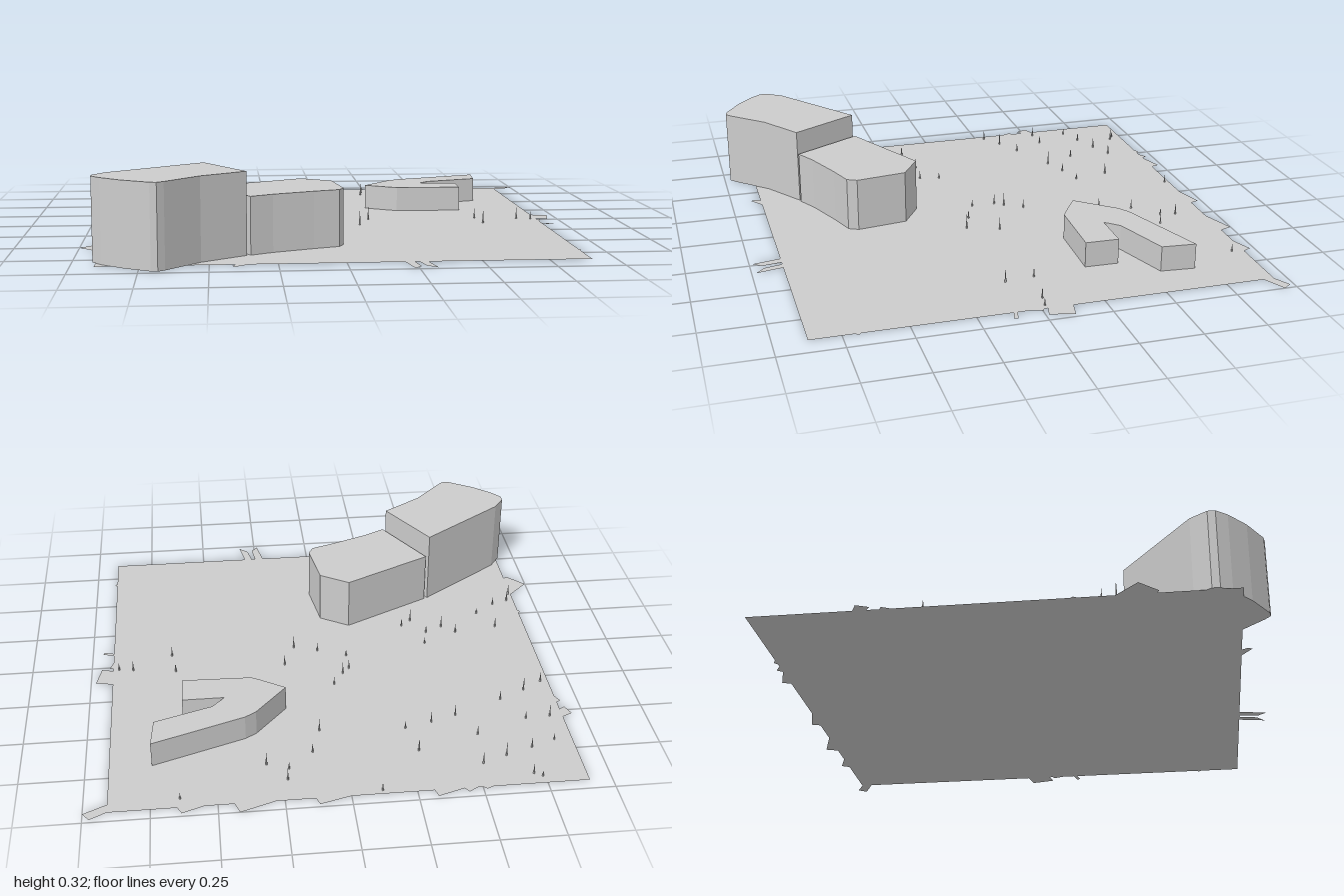
import * as THREE from 'three';

const material = new THREE.MeshStandardMaterial({ color: 0xcccccc, flatShading: true });
const thinMaterial = new THREE.MeshStandardMaterial({ color: 0xcccccc, side: THREE.DoubleSide });

// Plan outline from [x, z] corners
const outline = (points) => new THREE.Shape(points.map(([x, z]) => new THREE.Vector2(x, -z)));

function addMesh(parent, name, geometry, mat = material) {
  const mesh = new THREE.Mesh(geometry, mat);
  mesh.name = name;
  parent.add(mesh);
  return mesh;
}

// Upright block with a flat roof
function addBuilding(parent, name, points, height) {
  const geometry = new THREE.ExtrudeGeometry(outline(points), { depth: height, bevelEnabled: false });
  return addMesh(parent, name, geometry.rotateX(-Math.PI / 2));
}

// Flat patch lying on the ground plane
function addPatch(parent, name, points) {
  const geometry = new THREE.ShapeGeometry(outline(points)).rotateX(-Math.PI / 2);
  return addMesh(parent, name, geometry, thinMaterial);
}

const west = -0.913, east = 0.91, north = -0.95, south = 0.873;

// Plot fragments projecting past each side of the site
const edgePatches = {
  northPatch: [
    [[-0.54, north], [-0.515, -0.962], [-0.5, north]],
    [[-0.48, north], [-0.445, -0.972], [-0.43, north]],
    [[-0.43, north], [-0.325, -0.985], [-0.315, north]],
    [[0, north], [0.122, -0.985], [0.134, north]],
    [[0.283, north], [0.42, -1], [0.438, north]],
    [[0.55, north], [0.635, -0.983], [0.652, north]],
    [[east, north], [0.975, -0.985], [1, -0.95], [east, -0.905]],
  ],
  westPatch: [
    [[west, -0.545], [-0.955, -0.525], [-0.935, -0.477], [west, -0.492]],
    [[west, -0.443], [-0.93, -0.435], [west, -0.4]],
    [[west, 0.255], [-0.922, 0.265], [west, 0.28]],
    [[west, 0.417], [-1, 0.503], [-0.93, 0.575], [west, 0.567]],
  ],
  eastPatch: [
    [[east, -0.125], [0.98, -0.11], [0.958, -0.012], [east, -0.025]],
    [[east, -0.01], [0.925, -0.003], [east, 0.04]],
    [[east, 0.093], [0.957, 0.105], [0.952, 0.12], [east, 0.108]],
    [[east, 0.68], [0.92, 0.69], [east, 0.705]],
  ],
  southPatch: [
    [[-0.406, south], [-0.417, 0.895], [-0.41, 0.915], [-0.353, south]],
    [[0.214, south], [0.235, 0.987], [0.262, 0.955], [0.251, south]],
    [[0.267, south], [0.283, 0.948], [0.321, 0.982], [0.3, south]],
  ],
};

// Tree positions [x, z]
const treeSpots = [
  [-0.74, -0.91], [-0.71, -0.89], [-0.12, -0.93], [-0.63, -0.77], [-0.74, -0.73],
  [-0.84, -0.69], [-0.53, -0.81], [-0.545, -0.625], [-0.295, -0.705], [0.23, -0.83],
  [0.22, -0.765], [0.305, -0.73], [0.12, -0.67], [0.64, -0.9], [-0.86, -0.535],
  [-0.76, -0.54], [-0.48, -0.49], [-0.375, -0.525], [-0.265, -0.555], [0.08, -0.535],
  [-0.685, -0.4], [-0.795, -0.345], [-0.88, -0.29], [-0.015, -0.22], [-0.06, -0.145],
  [-0.09, -0.11], [-0.09, -0.01], [0.18, -0.055], [0.03, 0.04], [0.13, 0.075],
  [0.825, -0.03], [0.885, -0.02], [0.66, 0.065], [0.645, -0.055], [-0.445, 0.05],
  [-0.595, 0.125], [-0.465, 0.135], [-0.54, 0.175], [-0.78, 0.15], [-0.72, 0.27],
  [-0.41, 0.24], [-0.365, 0.2], [-0.9, 0.42], [-0.88, 0.365], [-0.81, 0.34],
];

export function createModel() {
  const model = new THREE.Group();
  model.name = 'siteModel';

  // Ground sheet and its ragged edges
  addPatch(model, 'ground', [[west, north], [east, north], [east, south], [west, south]]);
  for (const [name, patches] of Object.entries(edgePatches)) {
    patches.forEach((points) => addPatch(model, name, points));
  }

  // Curved pair of blocks, separated by a narrow joint
  addBuilding(model, 'tallBuilding', [
    [-0.52, 0.43], [-0.88, 0.695], [-0.925, 0.76], [-0.925, 0.79], [-0.89, 0.835], [-0.81, 0.905],
    [-0.705, 0.97], [-0.68, 0.975], [-0.655, 0.955], [-0.53, 0.82], [-0.36, 0.705],
  ], 0.318);
  addBuilding(model, 'middleBuilding', [
    [-0.505, 0.423], [-0.13, 0.23], [-0.01, 0.305], [0.02, 0.515], [0, 0.555],
    [-0.1, 0.59], [-0.26, 0.655], [-0.346, 0.702],
  ], 0.223);

  // Low forked block
  addBuilding(model, 'lowBuilding', [
    [0.2, -0.37], [0.33, -0.525], [0.375, -0.555], [0.745, -0.69], [0.733, -0.55], [0.5, -0.47],
    [0.45, -0.415], [0.62, -0.415], [0.617, -0.277], [0.335, -0.285], [0.3, -0.305],
  ], 0.105);

  // Scattered slender trees of varied height
  const trees = new THREE.Group();
  trees.name = 'trees';
  model.add(trees);
  const treeGeometry = new THREE.ConeGeometry(0.004, 1, 4).translate(0, 0.5, 0);
  treeSpots.forEach(([x, z], i) => {
    const tree = addMesh(trees, 'tree', treeGeometry);
    tree.position.set(x, 0, z);
    tree.scale.y = 0.03 + 0.04 * ((i * 0.618) % 1);
  });
  return model;
}
